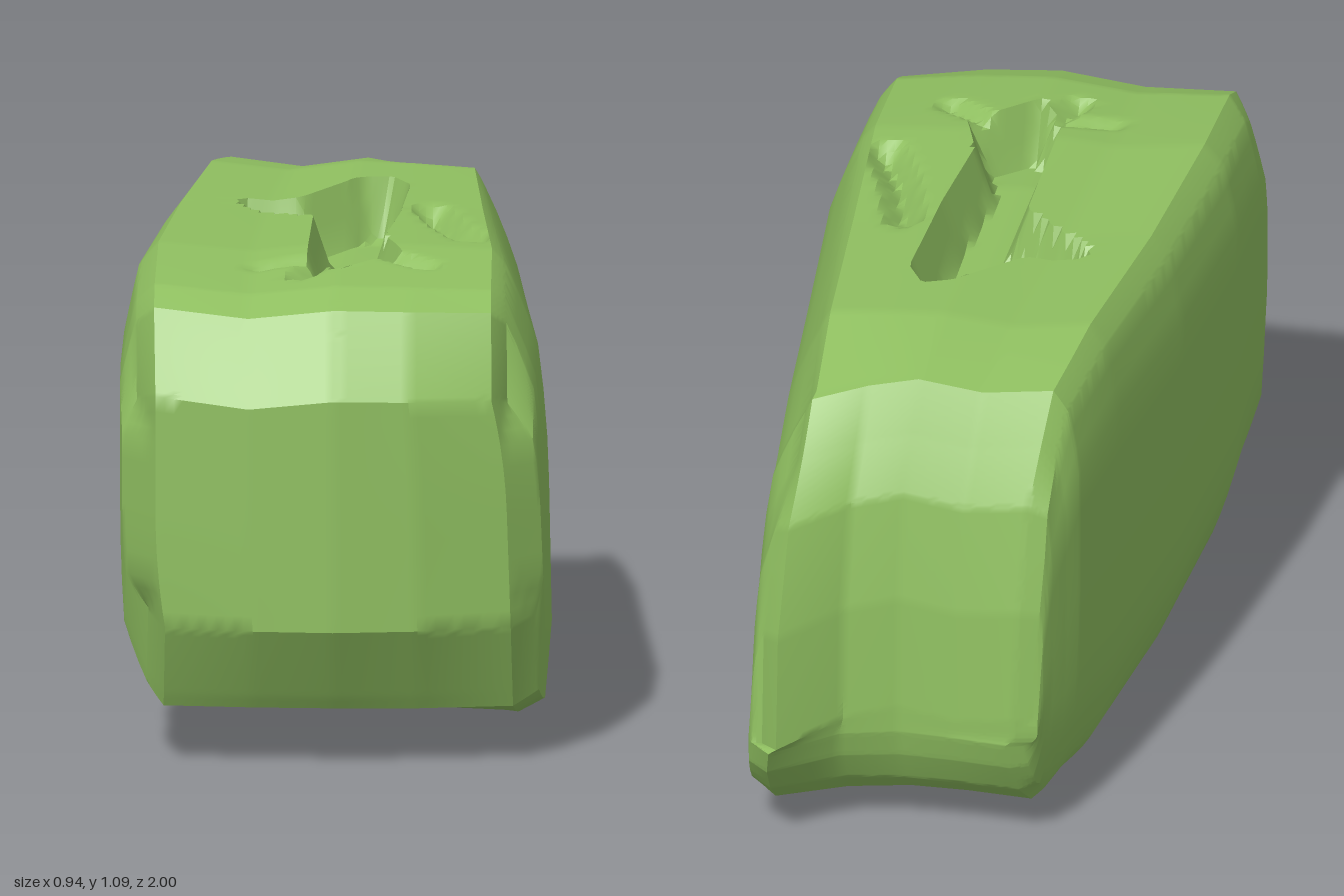
import * as THREE from 'three';
import { toCreasedNormals } from 'three/addons/utils/BufferGeometryUtils.js';

// Sections from back to front: z, left edge, right edge, bottom, top
const SECTIONS = [
  [-1.0, -0.24, 0.385, 0.26, 0.32],
  [-0.97, -0.25, 0.395, 0.2, 0.58],
  [-0.9, -0.265, 0.4, 0.125, 0.82],
  [-0.81, -0.285, 0.405, 0.06, 0.94],
  [-0.73, -0.305, 0.41, 0.045, 1.05],
  [-0.45, -0.35, 0.42, 0.0, 1.09],
  [0.0, -0.42, 0.445, 0.01, 1.085],
  [0.45, -0.47, 0.47, 0.04, 1.085],
  [0.78, -0.475, 0.465, 0.1, 1.05],
  [0.88, -0.475, 0.46, 0.125, 1.015],
  [1.0, -0.47, 0.455, 0.32, 0.835],
];
const ACROSS = [-1, -0.84, -0.4, 0, 0.4, 0.84, 1];
const UPWARD = [-1, -0.6, 0, 0.6, 1];

// Uneven offsets across the width, at the ACROSS stops
const FRONT_BOW = [0.16, 0.06, 0.015, 0, 0.02, 0.09, 0.18];
const BACK_CHANNEL = [0.13, 0.12, 0.14, 0.15, 0.12, 0, 0.05];
const TOP_WAVE = [0, 0, -0.02, 0, -0.005, -0.015, -0.02];
const BOTTOM_WAVE = [0.04, 0.045, 0.06, 0.06, 0.035, 0, 0];

// Outline of the pit in the top (x, z), and small cuts (x1, z1, x2, z2, radius, depth)
const PIT = [
  [-0.24, -0.11], [-0.09, -0.12], [0.04, -0.28], [0.11, -0.3], [0.15, -0.22], [0.13, 0.1],
  [0.1, 0.36], [0.14, 0.5], [0.0, 0.65], [-0.07, 0.56], [-0.06, 0.1], [-0.2, -0.02],
];
const CUTS = [
  [-0.04, 0.56, -0.08, 0.66, 0.04, 0.05],
  [-0.04, 0.54, -0.17, 0.57, 0.035, 0.03],
  [0.1, 0.52, 0.19, 0.59, 0.04, 0.04],
  [0.2, 0.02, 0.24, 0.2, 0.05, 0.05],
  [0.24, 0.2, 0.29, 0.33, 0.05, 0.05],
];

const { lerp, clamp } = THREE.MathUtils;

// Piecewise linear read of a list at t in 0..1
function sample(list, t) {
  const f = t * (list.length - 1);
  const i = Math.min(Math.floor(f + 1e-6), list.length - 2);
  return lerp(list[i], list[i + 1], clamp(f - i, 0, 1));
}

// Nearest point to (x, z) on a segment
function nearest(x, z, x1, z1, x2, z2) {
  const dx = x2 - x1, dz = z2 - z1;
  const t = clamp(((x - x1) * dx + (z - z1) * dz) / (dx * dx + dz * dz), 0, 1);
  const nx = x1 + t * dx, nz = z1 + t * dz;
  return { nx, nz, dist: Math.hypot(x - nx, z - nz) };
}

// Sink a point of the top into the pit and cuts, snapping to the pit's rim
function carve(x, y, z) {
  let inside = false, rim = { dist: Infinity };
  PIT.forEach(([x1, z1], i) => {
    const [x2, z2] = PIT[(i + 1) % PIT.length];
    if ((z1 > z) !== (z2 > z) && x < x1 + ((z - z1) / (z2 - z1)) * (x2 - x1)) inside = !inside;
    const n = nearest(x, z, x1, z1, x2, z2);
    if (n.dist < rim.dist) rim = n;
  });
  let depth = 0;
  if (rim.dist < 0.009) [x, z] = [rim.nx, rim.nz];
  else if (inside) depth = 0.14 * clamp(rim.dist / 0.045, 0, 1);
  for (const [x1, z1, x2, z2, r, d] of CUTS) {
    const { dist } = nearest(x, z, x1, z1, x2, z2);
    depth = Math.max(depth, d * clamp((r - dist) / 0.05, 0, 1));
  }
  return [x, y - depth, z];
}

function createBlock() {
  const geometry = new THREE.BoxGeometry(2, 2, 2, 60, 12, 200);
  const pos = geometry.attributes.position;
  const columns = SECTIONS[0].map((_, c) => SECTIONS.map((s) => s[c]));

  for (let i = 0; i < pos.count; i++) {
    const u = (pos.getX(i) + 1) / 2, v = (pos.getY(i) + 1) / 2, w = (pos.getZ(i) + 1) / 2;
    const a = sample(ACROSS, u), b = sample(UPWARD, v);
    let [z, left, right, bottom, top] = columns.map((c) => sample(c, w));
    const front = clamp((z - 0.45) / 0.55, 0, 1), back = clamp((-0.45 - z) / 0.55, 0, 1);

    // Chamfer the long edges, less towards the back and at the lower right
    const soft = clamp((1 + z) / 0.2, 0.35, 1);
    const p = soft * Math.max(0, Math.min((Math.abs(a) - 0.84) / 0.16, (Math.abs(b) - 0.6) / 0.4));
    const pulledA = a * (1 - (a > 0 && b < 0 ? 0.04 : 0.07) * p);
    const pulledB = b * (1 - (a > 0 ? 0.06 : 0.1) * p);

    // Uneven top and bottom, sides leaning in
    top += sample(TOP_WAVE, u) - 0.04 * Math.max(0, a) * Math.min(1, back * 2);
    bottom += sample(BOTTOM_WAVE, u) * clamp((0.9 - Math.abs(z)) / 0.3, 0, 1);
    const topLean = lerp(0.1, 0.03, w) * clamp((z + 1) / 0.3, 0, 1) * Math.max(0, b) ** 2;
    const rightLean = Math.max(0, a) * (0.01 * (b + 1) + topLean);
    const leftLean = Math.max(0, -a) * 0.025 * Math.min(0, b) ** 2;
    const x = lerp(left, right, (pulledA + 1) / 2) - rightLean + leftLean;
    const y = lerp(bottom, top, (pulledB + 1) / 2);

    // Bowed front and hollow back
    z += sample(BACK_CHANNEL, u) * back * back - sample(FRONT_BOW, u) * front * front;

    pos.setXYZ(i, ...(v > 0.999 && Math.abs(a) < 0.84 ? carve(x, y, z) : [x, y, z]));
  }
  geometry.deleteAttribute('uv');
  geometry.deleteAttribute('normal');
  return toCreasedNormals(geometry, 0.5);
}

export function createModel() {
  const group = new THREE.Group();
  group.name = 'rock';
  const block = new THREE.Mesh(createBlock(), new THREE.MeshStandardMaterial({ color: 0x8fbf60 }));
  block.name = 'carvedBlock';
  group.add(block);
  return group;
}
